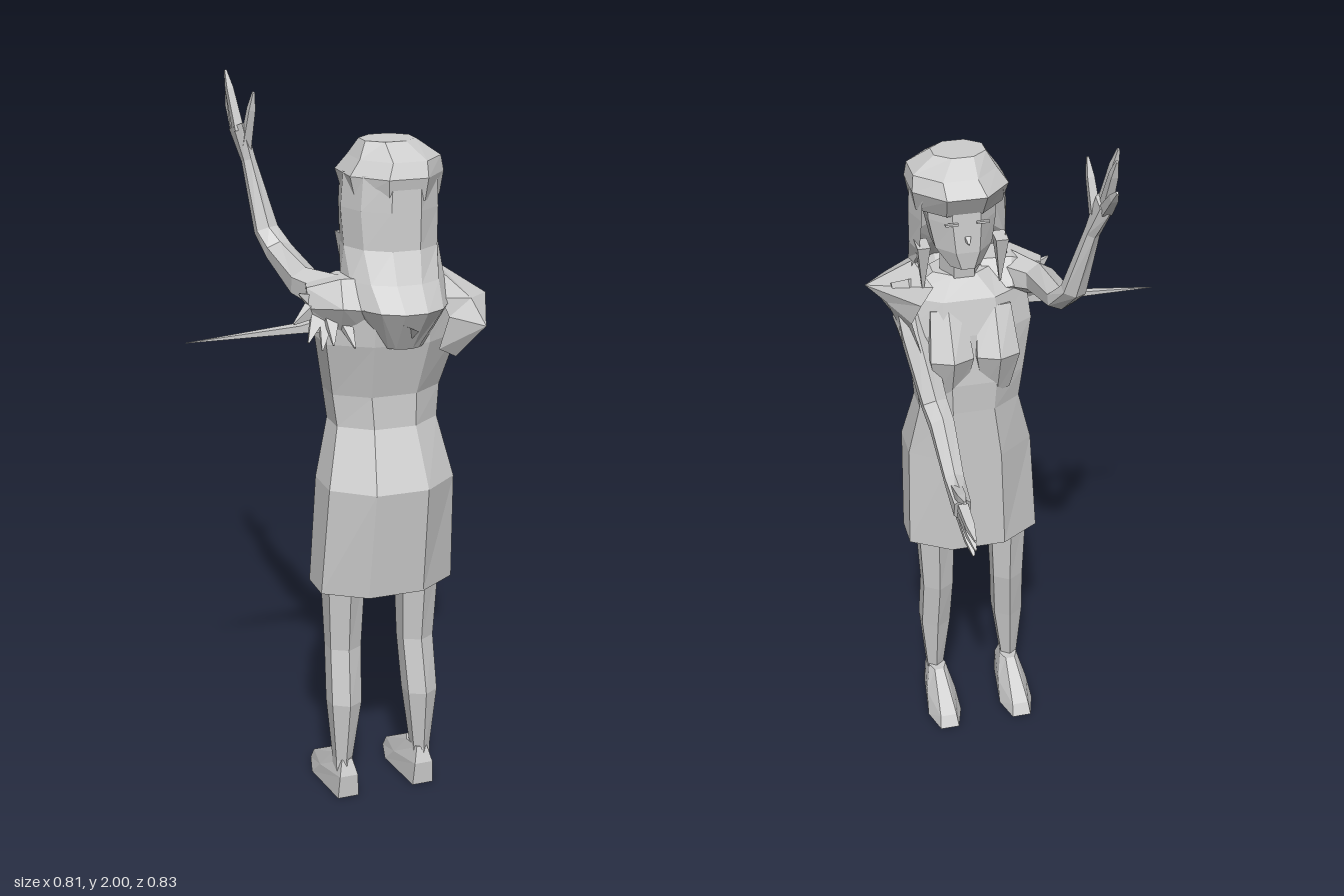
import * as THREE from 'three';

const clay = new THREE.MeshStandardMaterial({ color: 0xcccccc, flatShading: true, side: THREE.DoubleSide });
clay.name = 'grey clay';

// Skins a surface over rings of points; closed rings may be capped
function skin(name, rings, closed = true, caps = true) {
  const pos = [], n = rings[0].length;
  const tri = (a, b, c) => pos.push(...a, ...b, ...c);
  for (let i = 0; i < rings.length - 1; i++) {
    for (let j = 0; j < (closed ? n : n - 1); j++) {
      const k = (j + 1) % n, lo = rings[i], hi = rings[i + 1];
      tri(lo[j], lo[k], hi[k]);
      tri(lo[j], hi[k], hi[j]);
    }
  }
  if (closed && caps) {
    const a = rings[0], b = rings[rings.length - 1];
    for (let j = 1; j < n - 1; j++) {
      tri(a[0], a[j + 1], a[j]);
      tri(b[0], b[j], b[j + 1]);
    }
  }
  const g = new THREE.BufferGeometry();
  g.setAttribute('position', new THREE.Float32BufferAttribute(pos, 3));
  g.computeVertexNormals();
  const m = new THREE.Mesh(g, clay);
  m.name = name;
  return m;
}

// Upright loft from [left, right, y, front z, back z] rows, bottom to top
function loft(name, rows, n = 8) {
  const k = 1 / Math.cos(Math.PI / n);
  return skin(name, rows.map(([x0, x1, y, z0, z1]) => Array.from({ length: n }, (_, i) => {
    const t = (i + 0.5) / n * Math.PI * 2;
    return [(x0 + x1) / 2 + (x1 - x0) / 2 * k * Math.sin(t), y, (z0 + z1) / 2 + (z1 - z0) / 2 * k * Math.cos(t)];
  })));
}

// Limb along a path of [x, y, z, half width, half depth]
function limb(name, path, n = 6) {
  const P = path.map(p => new THREE.Vector3(p[0], p[1], p[2]));
  return skin(name, P.map((p, i) => {
    const d = P[Math.min(i + 1, P.length - 1)].clone().sub(P[Math.max(i - 1, 0)]).normalize();
    const ref = Math.abs(d.x) > 0.8 ? new THREE.Vector3(0, 1, 0) : new THREE.Vector3(1, 0, 0);
    const v = d.clone().cross(ref).normalize(), u = v.clone().cross(d);
    return Array.from({ length: n }, (_, j) => {
      const t = (j + 0.5) / n * Math.PI * 2;
      return p.clone().addScaledVector(u, path[i][3] * Math.cos(t)).addScaledVector(v, path[i][4] * Math.sin(t)).toArray();
    });
  }));
}

const spike = (name, base, tip, w, d = w) => limb(name, [[...base, w, d], [...tip, 0.003, 0.003]], 4);

export function createModel() {
  const model = new THREE.Group();
  const add = (...m) => model.add(...m);

  // Legs and feet
  for (const [s, x] of [['right', 0.02], ['left', 0.25]]) {
    const dir = s === 'left' ? -1 : 1;
    add(limb(s + 'Leg', [
      [x, 0.05, 0.262, 0.032, 0.035], [x - dir * 0.004, 0.11, 0.256, 0.028, 0.035],
      [x, 0.29, 0.253, 0.05, 0.056], [x + dir * 0.006, 0.45, 0.224, 0.052, 0.054],
      [x + dir * 0.005, 0.68, 0.222, 0.062, 0.072]]));
    add(skin(s + 'Foot', [
      [0, 0.1, 0.302, 0.036], [0.07, 0.08, 0.295, 0.03], [0.115, 0.04, 0.25, 0.022]].map(([h], i) => {
      const w = [0.052, 0.045, 0.026][i], toe = [0.05, 0.068, 0.2][i], heel = [0.298, 0.302, 0.285][i];
      const ty = [0, 0.035, 0.115][i];
      return [[x - w * 0.6, h, heel], [x + w * 0.6, h, heel], [x + w, i === 1 ? 0.05 : h, 0.13 + i * 0.05],
        [x + w * 0.55, ty, toe], [x - w * 0.55, ty, toe], [x - w, i === 1 ? 0.05 : h, 0.13 + i * 0.05]];
    })));
  }

  // Dress with hips, waist and shoulders
  add(loft('dress', [
    [-0.055, 0.33, 0.64, 0.1, 0.345], [-0.04, 0.32, 0.95, 0.097, 0.375],
    [0, 0.288, 1.11, 0.095, 0.3], [-0.012, 0.295, 1.2, 0.09, 0.295],
    [-0.04, 0.335, 1.35, 0.1, 0.33], [-0.03, 0.32, 1.45, 0.12, 0.34],
    [0.07, 0.23, 1.51, 0.16, 0.28]]));
  for (const x of [0.075, 0.205])
    add(limb('bust', [[x, 1.17, 0.13, 0.045, 0.03], [x, 1.29, 0.105, 0.07, 0.055], [x, 1.42, 0.14, 0.055, 0.025]]));
  add(loft('neck', [[0.1, 0.2, 1.46, 0.16, 0.27], [0.105, 0.2, 1.64, 0.14, 0.25]], 6));

  // Head and face
  add(loft('head', [
    [0.115, 0.2, 1.57, 0.07, 0.17], [0.08, 0.235, 1.62, 0.066, 0.25],
    [0.065, 0.25, 1.7, 0.07, 0.28], [0.07, 0.25, 1.79, 0.075, 0.28]]));
  add(spike('nose', [0.157, 1.66, 0.07], [0.157, 1.65, 0.052], 0.012));
  for (const x of [0.115, 0.2]) {
    const lash = new THREE.Mesh(new THREE.BoxGeometry(0.035, 0.006, 0.009), clay);
    lash.position.set(x, 1.705, 0.067);
    lash.name = 'eyelash';
    add(lash);
  }

  // Hair cap with fringe
  add(loft('hairCap', [
    [0.045, 0.28, 1.725, 0.075, 0.31], [0.032, 0.292, 1.785, 0.038, 0.32],
    [0.06, 0.285, 1.825, 0.07, 0.3], [0.085, 0.225, 1.868, 0.12, 0.24]]));

  // Long hair around the back, open at the face
  const drape = [
    [0.155, 1.345, 0.3, 0.06, 0.055, 1.3], [0.152, 1.455, 0.27, 0.135, 0.15, 1.6],
    [0.15, 1.52, 0.24, 0.138, 0.13, 1.75], [0.157, 1.6, 0.2, 0.133, 0.13, 2.05],
    [0.157, 1.7, 0.19, 0.135, 0.135, 2.15], [0.16, 1.79, 0.18, 0.128, 0.14, 2.15]];
  add(skin('longHair', drape.map(([x, y, z, rx, rz, a]) => Array.from({ length: 8 }, (_, i) => {
    const t = (i / 7 * 2 - 1) * a;
    return [x + rx * Math.sin(t), y, z + rz * Math.cos(t)];
  })), false));
  add(skin('hairUnderside', [
    [[0.06, 1.44, 0.27], [0.155, 1.345, 0.33], [0.25, 1.44, 0.27]],
    [[0.03, 1.46, 0.35], [0.158, 1.41, 0.415], [0.265, 1.46, 0.34]]], false));
  for (const x of [0.05, 0.265])
    add(spike('sideLock', [x, 1.62, 0.15], [x, 1.48, 0.16], 0.025, 0.04));

  // Raised arm
  add(limb('raisedArm', [
    [0, 1.47, 0.23, 0.06, 0.06], [-0.055, 1.485, 0.13, 0.046, 0.045],
    [-0.06, 1.525, -0.07, 0.042, 0.03], [-0.08, 1.575, -0.122, 0.036, 0.028],
    [-0.112, 1.76, -0.175, 0.02, 0.024], [-0.134, 1.85, -0.205, 0.021, 0.045]]));
  for (const [b, t] of [
    [[-0.137, 1.84, -0.185], [-0.16, 2, -0.225]], [[-0.137, 1.845, -0.205], [-0.145, 1.985, -0.265]],
    [[-0.132, 1.84, -0.225], [-0.133, 1.925, -0.312]], [[-0.12, 1.79, -0.18], [-0.107, 1.95, -0.138]]])
    add(limb('raisedFinger', [[...b, 0.018, 0.021], [...b.map((v, i) => v * 0.3 + t[i] * 0.7), 0.013, 0.015], [...t, 0.004, 0.006]], 4));

  // Lowered, outstretched arm
  add(limb('loweredArm', [
    [0.3, 1.47, 0.24, 0.05, 0.06], [0.29, 1.34, 0.165, 0.045, 0.05],
    [0.262, 1.17, 0.07, 0.04, 0.038], [0.255, 1.135, 0.0, 0.038, 0.034],
    [0.262, 1.075, -0.18, 0.03, 0.024], [0.262, 1.045, -0.28, 0.026, 0.045]]));
  for (const [b, t] of [
    [[0.262, 1.055, -0.26], [0.258, 1.035, -0.418]], [[0.262, 1.04, -0.26], [0.252, 0.985, -0.39]],
    [[0.262, 1.02, -0.25], [0.248, 0.935, -0.345]], [[0.265, 1.07, -0.22], [0.27, 1.115, -0.355]]])
    add(limb('loweredFinger', [[...b, 0.02, 0.021], [...b.map((v, i) => v * 0.35 + t[i] * 0.65), 0.016, 0.014], [...t, 0.004, 0.005]], 4));

  // Ragged ruffle on the raised shoulder, with one long spike
  add(limb('rightRuffle', [
    [0.08, 1.45, 0.25, 0.09, 0.09], [0, 1.46, 0.24, 0.08, 0.09], [-0.075, 1.45, 0.22, 0.06, 0.04]]));
  add(limb('longSpike', [[0, 1.4, 0.225, 0.03, 0.03], [-0.1, 1.387, 0.213, 0.014, 0.022], [-0.405, 1.375, 0.208, 0.001, 0.001]], 4));
  for (const t of [[-0.135, 1.42, 0.28], [-0.1, 1.37, 0.295], [-0.065, 1.35, 0.305], [-0.045, 1.37, 0.335],
    [0.01, 1.36, 0.345], [-0.11, 1.49, 0.25]])
    add(spike('ruffleSpike', [t[0] * 0.4, 1.45, 0.23], t, 0.04, 0.025));

  // Pointed cape folds on the other shoulder
  add(skin('leftCape', [
    [[0.28, 1.28, 0.1], [0.31, 1.31, 0.22], [0.305, 1.3, 0.32], [0.25, 1.33, 0.335]],
    [[0.31, 1.41, 0.1], [0.36, 1.43, 0.2], [0.37, 1.39, 0.366], [0.27, 1.42, 0.35]],
    [[0.29, 1.48, 0.06], [0.408, 1.455, 0.27], [0.34, 1.46, 0.33], [0.25, 1.47, 0.34]],
    [[0.24, 1.49, 0.14], [0.28, 1.54, 0.22], [0.28, 1.52, 0.28], [0.22, 1.5, 0.3]]].map(r => r.reverse()), false));
  return model;
}
